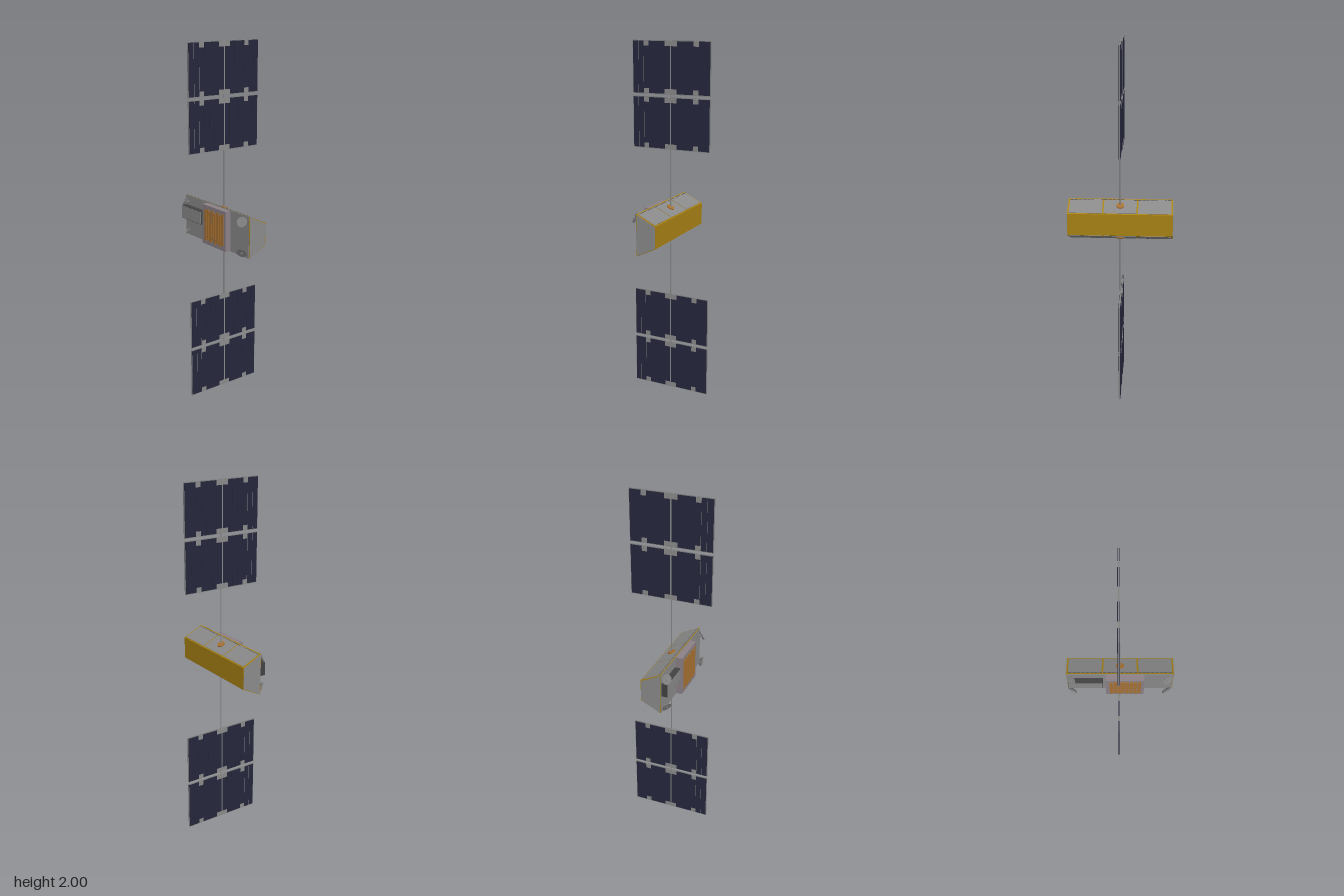
import * as THREE from 'three';

const mat = (color) => new THREE.MeshStandardMaterial({ color, flatShading: true });
const GREY = mat(0x8a8a8a), DARK = mat(0x424242), DISH = mat(0x808080), NAVY = mat(0x25273c);
const GOLD = mat(0xa88214), ORANGE = mat(0xa87232), PINK = mat(0x8a8085);

function add(parent, name, geometry, material, x = 0, y = 0, z = 0) {
  const mesh = new THREE.Mesh(geometry, material);
  mesh.name = name;
  mesh.position.set(x, y, z);
  parent.add(mesh);
  return mesh;
}
const box = (parent, name, m, w, h, d, x, y, z) =>
  add(parent, name, new THREE.BoxGeometry(w, h, d), m, x, y, z);

function group(parent, name) {
  const g = new THREE.Group();
  g.name = name;
  parent.add(g);
  return g;
}

// Trapezoid prism running along x, tall at the front and short at the back
function prism(length, inset) {
  const f = 0.057 - inset, hf = 0.117 - inset, hb = 0.062 - inset;
  const shape = new THREE.Shape([
    new THREE.Vector2(-f, -hf), new THREE.Vector2(f, -hb),
    new THREE.Vector2(f, hb), new THREE.Vector2(-f, hf),
  ]);
  const g = new THREE.ExtrudeGeometry(shape, { depth: length, bevelEnabled: false });
  g.translate(0, 0, -length / 2);
  return g.rotateY(Math.PI / 2);
}

// One solar panel: thin frame, raised cell columns, spine and hinge tabs
function solarPanel(parent, yMid) {
  const g = group(parent, 'solarPanel');
  g.position.y = yMid;
  const H = 0.284, W = 0.462, columns = 14, pitch = 0.0326;
  box(g, 'panelFrame', DISH, 0.007, H, W, 0, 0, 0);
  box(g, 'panelCore', NAVY, 0.011, H - 0.008, W - 0.006, 0, 0, 0);
  for (let i = 0; i < columns; i++)
    box(g, 'cellColumn', NAVY, 0.0125, H - 0.01, pitch - 0.0015, 0, 0, (i - (columns - 1) / 2) * pitch);
  for (const z of [0.1956, 0.163])
    box(g, 'cableStrip', DISH, 0.0122, H - 0.01, 0.0015, 0, 0, z);
  box(g, 'panelSpine', GREY, 0.0134, H - 0.004, 0.006, 0, 0, 0);
  for (const s of [-1, 1])
    for (const [z, w] of [[-0.148, 0.03], [0, 0.072], [0.148, 0.03]])
      box(g, 'hingeTab', GREY, 0.0138, 0.028, w, 0, s * (H / 2 - 0.016), z);
}

// Sloped deck, mast and wing of one half, built upwards from the centre
function half(parent, side) {
  const g = group(parent, side > 0 ? 'upperHalf' : 'lowerHalf');
  const deck = group(g, 'deck');
  deck.position.y = 0.0895;
  deck.rotation.x = -Math.atan2(0.055, 0.114);
  for (const [x, w] of [[-0.192, 0.184], [0, 0.183], [0.192, 0.184]])
    box(deck, 'deckPanel', GREY, w, 0.004, 0.112, x, 0.0005, 0);
  for (let i = 0; i < 24; i++)
    box(deck, 'deckFastener', DARK, 0.019, 0.002, 0.002, (i - 11.5) * 0.0238, 0.0025, 0.052);
  add(deck, 'mastHub', new THREE.CylinderGeometry(0.022, 0.022, 0.009, 10), ORANGE, 0, 0.0045, 0.003);
  add(g, 'mast', new THREE.CylinderGeometry(0.0035, 0.0035, 0.34, 8), GREY, 0, 0.25, 0);

  const wing = group(g, 'solarWing');
  wing.position.x = -0.006 * side;
  solarPanel(wing, 0.56);
  solarPanel(wing, 0.858);
  box(wing, 'wingLink', GREY, 0.004, 0.03, 0.006, 0.004 * side, 0.709, 0);
  if (side < 0) g.rotation.z = Math.PI;
}

// Tilted corner dish with its feed and stalk
function dish(parent, sx, sy) {
  const g = group(parent, 'dishAntenna');
  g.position.set(sx * 0.263 - 0.003, sy * 0.085, 0.08);
  const head = group(g, 'dishHead');
  head.quaternion.setFromUnitVectors(
    new THREE.Vector3(0, 1, 0), new THREE.Vector3(sx * 0.5, sy * 0.45, 0.74).normalize());
  add(head, 'reflector', new THREE.CylinderGeometry(0.029, 0.022, 0.008, 12), DISH);
  add(head, 'feed', new THREE.CylinderGeometry(0.005, 0.005, 0.006, 8), GREY, 0, 0.006, 0);
  box(g, 'dishStalk', DISH, 0.006, 0.006, 0.026, -sx * 0.011, 0, -0.012);
}

export function createModel() {
  const root = new THREE.Group();
  root.name = 'satellite';
  const craft = group(root, 'spacecraft');
  craft.position.y = 1;

  // Gold wrapped body with grey end plates and front plate
  add(craft, 'body', prism(0.586, 0), GOLD);
  for (const s of [-1, 1]) add(craft, 'endPlate', prism(0.003, 0.003), GREY, s * 0.294, 0, 0);
  box(craft, 'frontPlate', GREY, 0.582, 0.232, 0.003, 0, 0, 0.0572);

  // Instrument box with a serpentine grille
  const inst = group(craft, 'instrument');
  box(inst, 'instrumentBox', PINK, 0.213, 0.226, 0.037, 0.027, 0, 0.0755);
  const count = 8, pitch = 0.0222;
  for (let i = 0; i < count; i++) {
    const x = 0.029 + (i - (count - 1) / 2) * pitch;
    const end = i % 2 ? 1 : -1;
    box(inst, 'grilleBar', ORANGE, 0.0175, 0.178, 0.003, x, end * 0.005, 0.0955);
    if (i < count - 1)
      box(inst, 'grilleLink', ORANGE, 0.006, 0.012, 0.003, x + pitch / 2, end * 0.07, 0.0955);
  }

  // Electronics box beside the instrument
  box(craft, 'electronicsBox', DARK, 0.19, 0.075, 0.036, -0.19, 0.024, 0.074);
  box(craft, 'electronicsCover', GREY, 0.186, 0.071, 0.002, -0.19, 0.024, 0.092);

  for (const sx of [-1, 1]) for (const sy of [-1, 1]) dish(craft, sx, sy);
  for (const side of [1, -1]) half(craft, side);
  return root;
}
